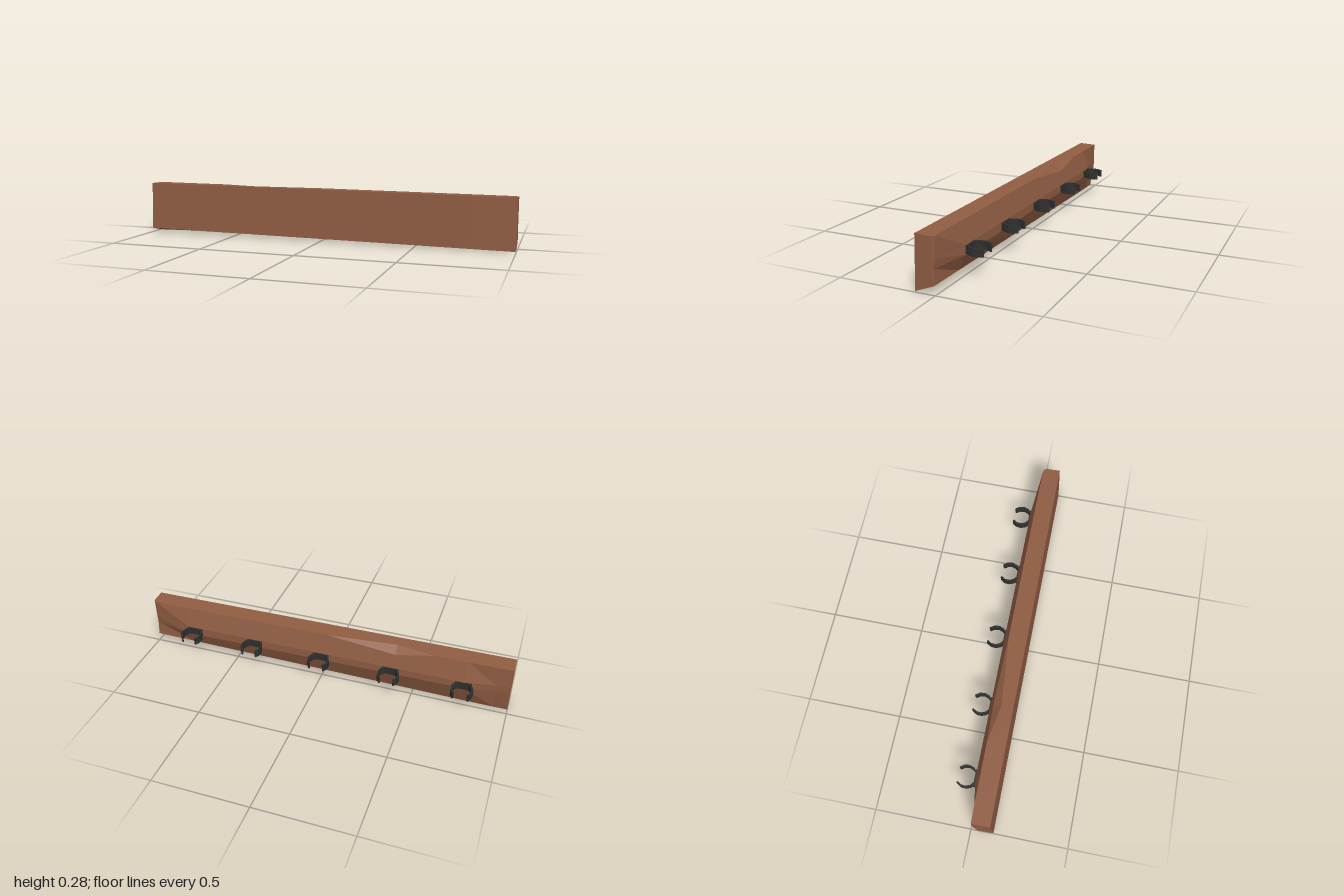
import * as THREE from 'three';

const wood = new THREE.MeshStandardMaterial({ color: 0x8f5c42 });
wood.name = 'brown wood';
const iron = new THREE.MeshStandardMaterial({ color: 0x2e302f });
iron.name = 'dark iron';

const lerp = THREE.MathUtils.lerp;

// Rough-hewn plank, lofted through sections along x.
// x, top edge z, chamfer z, chamfer y, upper ridge z, lower ridge z, bottom z, bottom y
const sections = [
  [-1.0, 0.012, 0.012, 0.272, 0.012, 0.014, 0.035, 0.0],
  [-0.93, 0.01, 0.01, 0.272, 0.008, 0.01, 0.033, 0.001],
  [-0.77, 0.008, 0.008, 0.271, -0.02, -0.02, 0.03, 0.004],
  [-0.6, 0.006, 0.006, 0.271, -0.021, -0.021, 0.028, 0.008],
  [-0.4, 0.04, -0.003, 0.235, -0.022, -0.022, 0.026, 0.012],
  [-0.03, 0.004, 0.004, 0.269, -0.024, -0.024, 0.021, 0.02],
  [0.78, -0.001, -0.001, 0.266, -0.028, -0.028, 0.011, 0.036],
  [0.985, 0.0, 0.0, 0.265, 0.004, 0.012, 0.008, 0.04],
  [1.0, 0.013, 0.013, 0.266, 0.016, 0.018, 0.009, 0.041],
];

function plankGeometry() {
  const pos = [];
  const index = [];
  const n = 7;
  for (const [x, topZ, chamZ, chamY, upZ, lowZ, botZ, botY] of sections) {
    const t = (x + 1) / 2;
    const ring = [
      [lerp(0.275, 0.269, t), lerp(0.106, 0.091, t)],
      [lerp(0.022, 0.005, t), lerp(0.117, 0.1, t)],
      [botY, botZ],
      [lerp(0.125, 0.115, t), lowZ],
      [0.162, upZ],
      [chamY, chamZ],
      [lerp(0.272, 0.266, t), topZ],
    ];
    for (const [y, z] of ring) pos.push(x, y, z);
  }
  const last = (sections.length - 1) * n;
  for (let s = 0; s < last; s += n) {
    for (let j = 0; j < n; j++) {
      const k = (j + 1) % n;
      index.push(s + j, s + k, s + n + k, s + j, s + n + k, s + n + j);
    }
  }
  // end caps
  for (let j = 1; j < n - 1; j++) {
    index.push(0, j + 1, j, last, last + j, last + j + 1);
  }
  const g = new THREE.BufferGeometry();
  g.setAttribute('position', new THREE.Float32BufferAttribute(pos, 3));
  g.setIndex(index);
  const flat = g.toNonIndexed();
  flat.computeVertexNormals();
  return flat;
}

// Open ring clip: flat base, curved arms, gap facing away from the plank
function clipGeometry() {
  const steps = 10;
  const start = THREE.MathUtils.degToRad(-228);
  const end = THREE.MathUtils.degToRad(48);
  const arc = (r, i) => {
    const a = lerp(start, end, i / steps);
    return new THREE.Vector2(r * Math.cos(a), Math.max(r * Math.sin(a), r - 0.108));
  };
  const pts = [];
  for (let i = 0; i <= steps; i++) pts.push(arc(0.058, i));
  for (let i = steps; i >= 0; i--) pts.push(arc(0.049, i));
  const g = new THREE.ExtrudeGeometry(new THREE.Shape(pts), { depth: 0.04, bevelEnabled: false });
  g.translate(0, 0, -0.02);
  g.rotateX(-Math.PI / 2); // shape's up becomes -z
  return g;
}

export function createModel() {
  const group = new THREE.Group();
  group.name = 'wallRack';

  const plank = new THREE.Mesh(plankGeometry(), wood);
  plank.name = 'plank';
  group.add(plank);

  // Row of five clips along the ridge
  const clip = clipGeometry();
  [-0.765, -0.383, -0.002, 0.38, 0.738].forEach((x, i) => {
    const mesh = new THREE.Mesh(clip, iron);
    mesh.name = 'clip' + (i + 1);
    mesh.position.set(x, 0.138, lerp(-0.067, -0.076, i / 4));
    mesh.rotation.set(-0.045, 0.008, 0);
    group.add(mesh);
  });
  // Mounting pads behind the clips
  const pad = new THREE.BoxGeometry(0.085, 0.04, 0.01);
  [...group.children].slice(1).forEach((c, i) => {
    const mesh = new THREE.Mesh(pad, iron);
    mesh.name = 'clipPad' + (i + 1);
    mesh.position.set(c.position.x, 0.14, c.position.z + 0.047);
    group.add(mesh);
  });
  return group;
}
